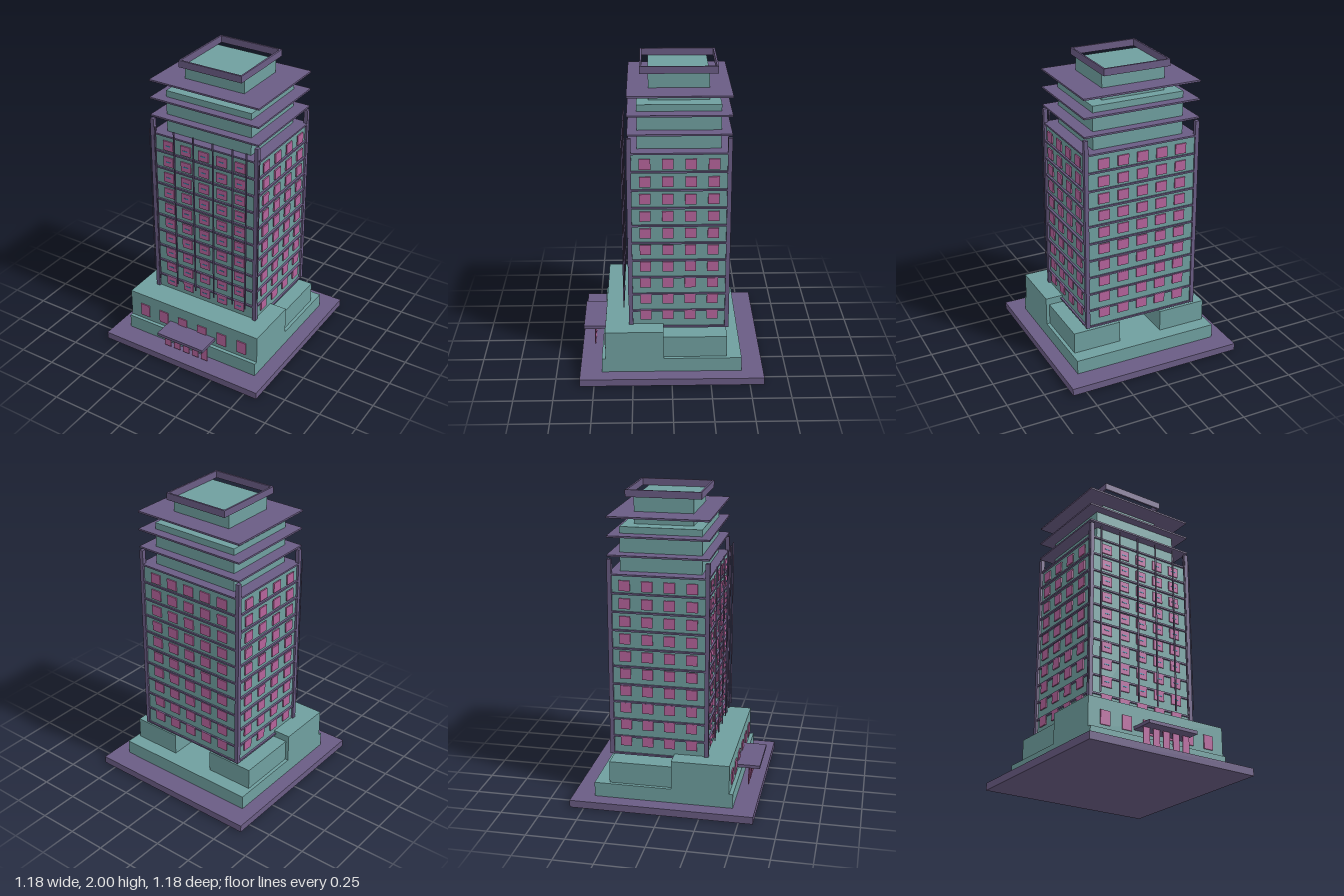
import * as THREE from 'three';

const material = (name, color) => {
  const m = new THREE.MeshStandardMaterial({ color });
  m.name = name;
  return m;
};

export function createModel() {
  const model = new THREE.Group();
  model.name = 'officeTower';
  const teal = material('tealWall', 0x6f9f9f);
  const purple = material('purpleTrim', 0x6a5c84);
  const pink = material('pinkWindow', 0xb5639b);
  const cyan = material('cyanGlass', 0x2fa3c4);

  // Box given by its minimum and maximum on each axis
  const box = (name, mat, [x0, x1], [y0, y1], [z0, z1], parent = model) => {
    const mesh = new THREE.Mesh(new THREE.BoxGeometry(x1 - x0, y1 - y0, z1 - z0), mat);
    mesh.position.set((x0 + x1) / 2, (y0 + y1) / 2, (z0 + z1) / 2);
    mesh.name = name;
    parent.add(mesh);
    return mesh;
  };
  const around = (c, size) => [c - size / 2, c + size / 2];
  const group = (name) => {
    const g = new THREE.Group();
    g.name = name;
    model.add(g);
    return g;
  };

  // Plinth and podium
  box('plinth', purple, [-0.592, 0.592], [0, 0.048], [-0.592, 0.592]);
  box('podiumBase', teal, [-0.496, 0.496], [0.048, 0.143], [-0.45, 0.45]);
  box('podiumHall', teal, [-0.496, 0.496], [0.143, 0.335], [0.052, 0.426]);
  for (const s of [-1, 1]) {
    box('rearWing', teal, around(s * 0.311, 0.325), [0.143, 0.287], [-0.355, 0.052]);
  }

  // Podium windows, entrance doors and canopy
  const entrance = group('entrance');
  for (let i = 0; i < 6; i++) {
    box('podiumWindow', pink, around(-0.38 + i * 0.152, 0.068), [0.172, 0.262], [0.425, 0.433], entrance);
  }
  for (let i = -2; i <= 2; i++) {
    box('entranceDoor', pink, around(i * 0.072, 0.048), [0.067, 0.187], [0.503, 0.509], entrance);
  }
  box('canopy', purple, [-0.177, 0.177], [0.185, 0.206], [0.424, 0.58], entrance);

  // Tower body and stepped crown
  box('towerBody', teal, [-0.378, 0.378], [0.316, 1.5], [-0.358, 0.258]);
  box('lowerCrown', teal, [-0.307, 0.307], [1.5, 1.788], [-0.306, 0.211]);
  box('upperCrown', teal, [-0.212, 0.212], [1.788, 1.955], [-0.236, 0.14]);

  // Floor slabs, carrying on up around the crown
  const slabs = group('floorSlabs');
  for (let i = 0; i < 14; i++) {
    box('floorSlab', purple, [-0.391, 0.391], around(0.315 + i * 0.1188, 0.011), [-0.368, 0.27], slabs);
  }

  // Corner columns and the thin fins beside the front ones
  const columns = group('cornerColumns');
  for (const s of [-1, 1]) {
    for (const z of [0.26, -0.355]) {
      box('cornerColumn', purple, around(s * 0.379, 0.026), [0.312, 1.6], around(z, 0.027), columns);
    }
    box('cornerFin', purple, around(s * 0.4, 0.003), [0.48, 1.53], around(0.274, 0.003), columns);
  }

  // Windows on all four faces
  const windows = group('towerWindows');
  for (let row = 0; row < 10; row++) {
    const y = around(0.406 + row * 0.1145, 0.066);
    for (let i = -2; i <= 2; i++) {
      const x = i * 0.132;
      box('frontWindow', pink, around(x, 0.074), y, [0.264, 0.272], windows);
      box('backWindow', pink, around(x, 0.074), y, [-0.371, -0.363], windows);
      // Small glass strip at the centre of each front window
      box('glassStrip', cyan, around(x, 0.036), around(0.406 + row * 0.1145, 0.006), [0.272, 0.274], windows);
    }
    for (let i = 0; i < 4; i++) {
      const z = around(0.164 - i * 0.1415, 0.07);
      for (const s of [-1, 1]) box('sideWindow', pink, around(s * 0.388, 0.009), y, z, windows);
    }
  }

  // Free-standing mullions in front of the facade
  const mullions = group('mullions');
  for (const x of [-0.333, -0.192, -0.05, 0.093, 0.235, 0.331]) {
    box('mullion', purple, around(x, 0.009), [0.43, 1.572], around(0.306, 0.008), mullions);
  }

  // Open rectangular frame on the roof
  const rim = new THREE.Shape([[-0.223, -0.24], [0.223, -0.24], [0.223, 0.24], [-0.223, 0.24]]
    .map(([x, y]) => new THREE.Vector2(x, y)));
  rim.holes.push(new THREE.Path([[-0.212, -0.228], [-0.212, 0.228], [0.212, 0.228], [0.212, -0.228]]
    .map(([x, y]) => new THREE.Vector2(x, y))));
  const frame = new THREE.Mesh(new THREE.ExtrudeGeometry(rim, { depth: 0.045, bevelEnabled: false }), purple);
  frame.name = 'roofFrame';
  frame.rotation.x = -Math.PI / 2;
  frame.position.set(0, 1.955, -0.049);
  model.add(frame);

  return model;
}
